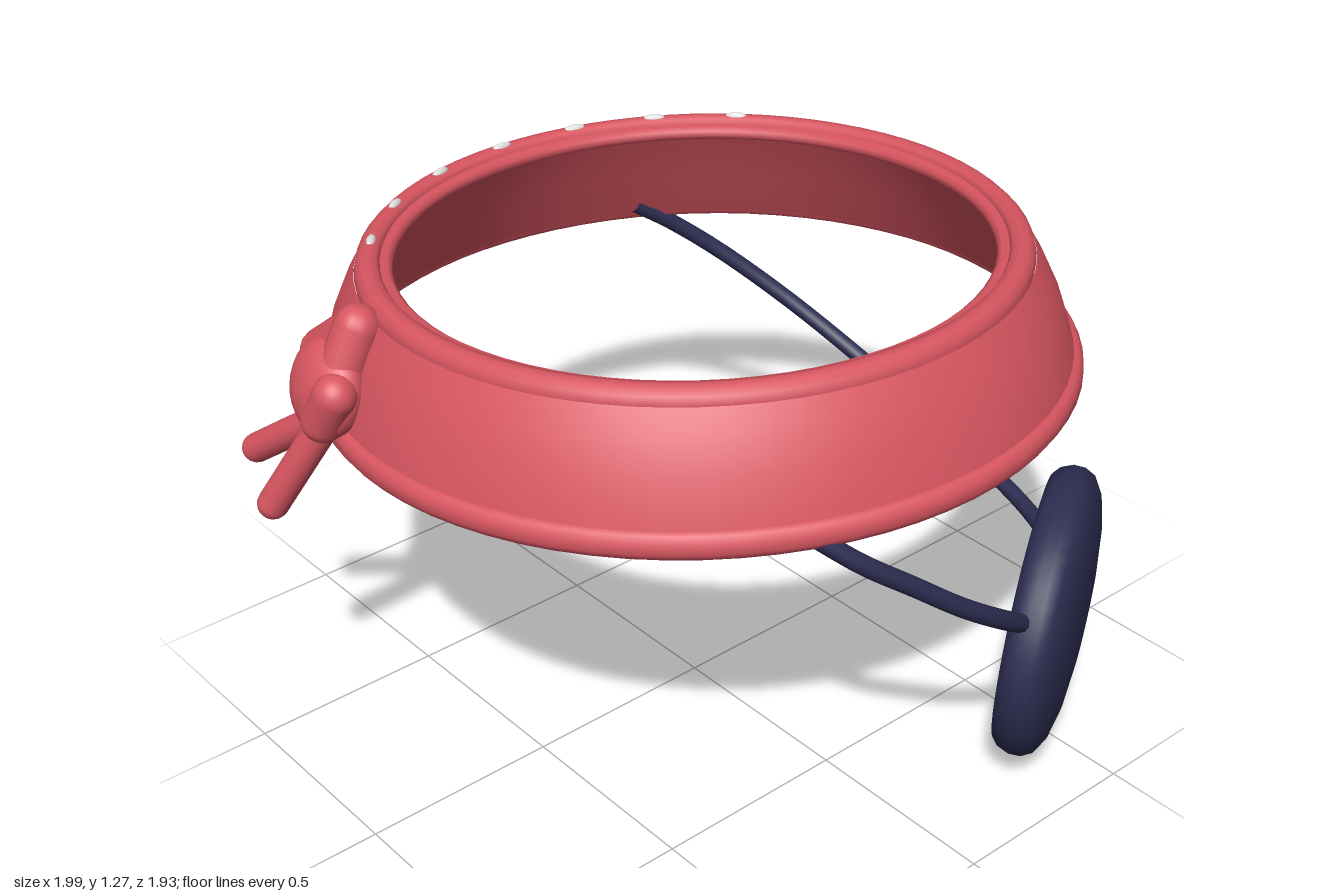
import * as THREE from 'three';

const V = (p) => new THREE.Vector3(...p);

export function createModel() {
  const model = new THREE.Group();
  const red = new THREE.MeshStandardMaterial({ color: 0xd95661 });
  red.name = 'coral red';
  const navy = new THREE.MeshStandardMaterial({ color: 0x2d2d52 });
  navy.name = 'navy';
  const pale = new THREE.MeshStandardMaterial({ color: 0xdedede });
  pale.name = 'pale grey';

  const add = (parent, name, geometry, material) => {
    const mesh = new THREE.Mesh(geometry, material);
    mesh.name = name;
    parent.add(mesh);
    return mesh;
  };
  const lathe = (points, segments) =>
    new THREE.LatheGeometry(points.map((p) => new THREE.Vector2(...p)), segments);

  // Collar: flared band with a rolled rim above and below, tipped slightly back
  const collar = new THREE.Group();
  collar.name = 'collar';
  collar.position.set(0.043, 0.9, -0.037);
  collar.rotation.x = -0.042;
  model.add(collar);
  add(collar, 'outerBand', lathe([[0.908, 0.04], [0.893, 0.1], [0.867, 0.18], [0.835, 0.25], [0.803, 0.305]], 72), red);
  add(collar, 'innerBand', lathe([[0.715, 0.305], [0.755, 0.24], [0.8, 0.16], [0.845, 0.08], [0.88, 0.02]], 72), red);
  add(collar, 'lowerRim', lathe([
    [0.878, 0.03], [0.882, 0.01], [0.9, 0], [0.915, 0.005], [0.926, 0.022],
    [0.925, 0.045], [0.915, 0.062], [0.9, 0.066]], 72), red);
  add(collar, 'innerLip', lathe([
    [0.74, 0.295], [0.72, 0.292], [0.712, 0.302], [0.712, 0.316], [0.722, 0.325], [0.75, 0.325]].reverse(), 72), red);
  add(collar, 'upperRim', lathe([
    [0.78, 0.28], [0.798, 0.288], [0.802, 0.305], [0.797, 0.325], [0.783, 0.339],
    [0.765, 0.342], [0.747, 0.337], [0.738, 0.322], [0.742, 0.3]], 72), red);

  // Small studs along the back of the upper rim
  for (let i = -3; i <= 3; i++) {
    const a = i * Math.PI / 11;
    const stud = add(collar, 'stud', new THREE.SphereGeometry(0.03, 12, 8), pale);
    stud.scale.set(1, 0.4, 0.4);
    stud.position.set(Math.sin(a) * 0.765, 0.338, -Math.cos(a) * 0.765);
    stud.rotation.y = -a;
  }

  // Pendant: shallow oval dome, hollow at the back
  const pendant = add(model, 'pendant', lathe([
    [0, 0.03], [0.14, 0.025], [0.23, 0.01], [0.27, -0.015], [0.288, -0.045], [0.305, -0.06],
    [0.325, -0.058], [0.343, -0.042], [0.355, -0.012], [0.354, 0.015], [0.34, 0.042],
    [0.3, 0.066], [0.23, 0.083], [0.13, 0.093], [0, 0.097]], 48), navy);
  pendant.position.set(0.503, 0.363, 0.742);
  pendant.rotation.set(Math.PI / 2 + 0.06, 0.55, 0, 'YXZ');
  pendant.scale.x = 1.07;

  // Cords hanging the pendant from the collar
  const cord = (name, points) => add(model, name,
    new THREE.TubeGeometry(new THREE.CatmullRomCurve3(points.map(V)), 64, 0.023, 10), navy);
  cord('frontCord', [
    [-0.35, 0.97, 0.76], [-0.25, 0.88, 0.83], [-0.13, 0.79, 0.875], [0, 0.69, 0.903],
    [0.13, 0.6, 0.908], [0.24, 0.525, 0.885], [0.33, 0.47, 0.83]]);
  cord('sideCord', [
    [0.47, 0.92, -0.8], [0.57, 0.85, -0.77], [0.7, 0.74, -0.7], [0.84, 0.59, -0.55],
    [0.945, 0.43, -0.3], [0.976, 0.32, 0], [0.92, 0.277, 0.3], [0.81, 0.285, 0.51], [0.72, 0.3, 0.61]]);

  // Hand with two raised fingers, pointing downwards
  const hand = new THREE.Group();
  hand.name = 'hand';
  model.add(hand);
  const limb = (name, from, to, radius) => {
    const a = V(from), b = V(to), d = b.clone().sub(a);
    const mesh = add(hand, name, new THREE.CapsuleGeometry(radius, d.length(), 8, 16), red);
    mesh.position.copy(a).add(b).multiplyScalar(0.5);
    mesh.quaternion.setFromUnitVectors(new THREE.Vector3(0, 1, 0), d.normalize());
  };
  const palm = add(hand, 'palm', new THREE.SphereGeometry(1, 24, 16), red);
  palm.position.set(-0.835, 1.04, -0.3);
  palm.scale.set(0.068, 0.12, 0.115);
  palm.rotation.z = -0.3;
  limb('wrist', [-0.768, 1.185, -0.26], [-0.85, 1.02, -0.27], 0.055);
  limb('curledFinger', [-0.768, 1.175, -0.27], [-0.785, 1.08, -0.39], 0.053);
  limb('thumb', [-0.862, 1.06, -0.225], [-0.872, 0.98, -0.27], 0.052);
  limb('longFinger', [-0.86, 0.98, -0.27], [-0.957, 0.735, -0.39], 0.038);
  limb('longFinger', [-0.835, 0.97, -0.3], [-0.897, 0.79, -0.55], 0.036);

  return model;
}
